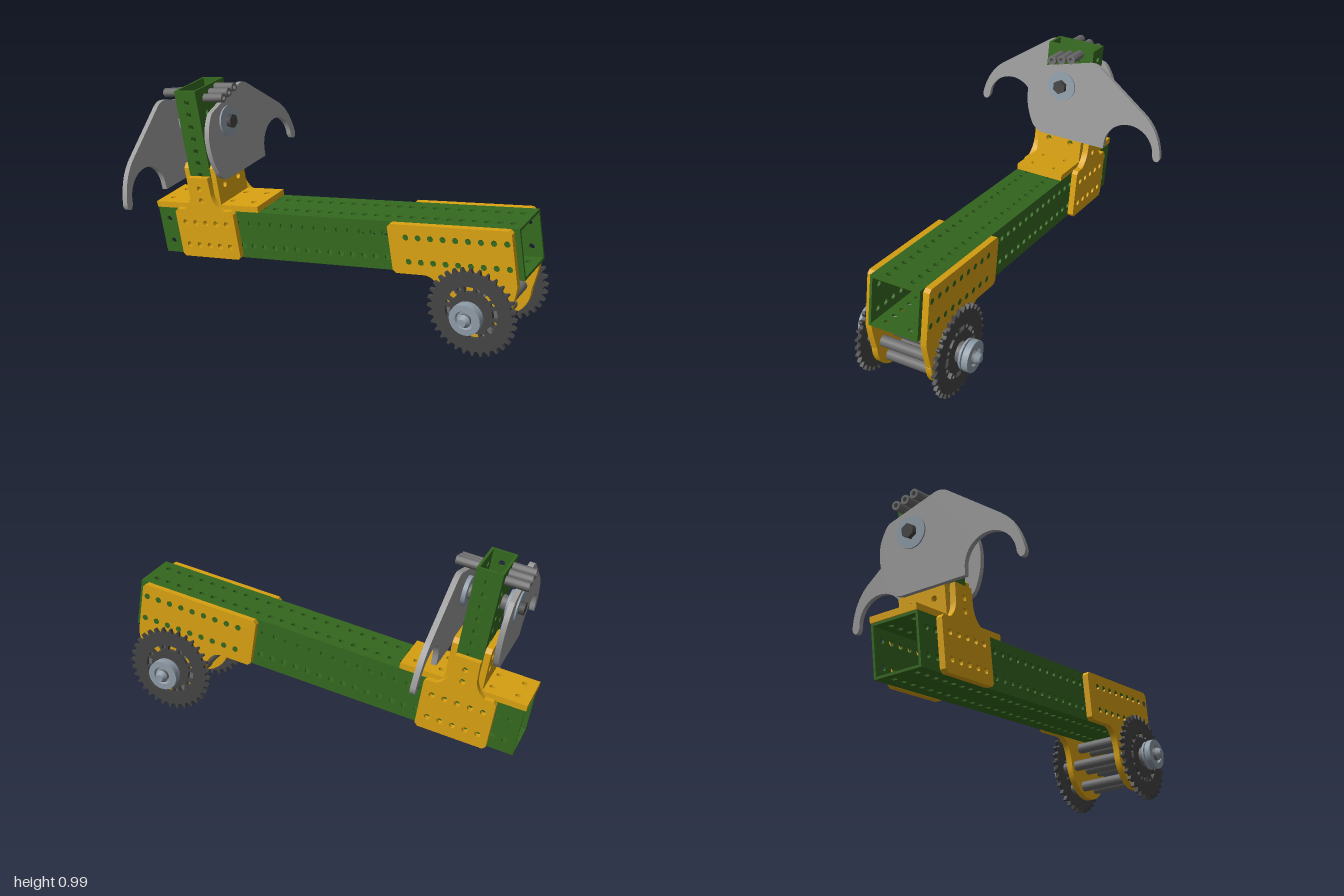
import * as THREE from 'three';
import { toCreasedNormals } from 'three/addons/utils/BufferGeometryUtils.js';

const paint = (color) => new THREE.MeshStandardMaterial({ color });
const green = paint(0x35691f), orange = paint(0xdba312), dark = paint(0x444444);
const grey = paint(0x9c9c9c), rodGrey = paint(0x6c6c6c), steel = paint(0x8f9ca8);

const PITCH = 0.062;   // hole spacing
const U = -0.682;      // upright position along the arm
const PIVOT = 0.55;    // claw pivot height above the arm axis

function add(parent, name, geometry, material, x = 0, y = 0, z = 0) {
  const mesh = new THREE.Mesh(geometry, material);
  mesh.name = name;
  mesh.position.set(x, y, z);
  parent.add(mesh);
  return mesh;
}

function polygon(points) {
  return new THREE.Shape(points.map(([x, y]) => new THREE.Vector2(x, y)));
}

function rect(w, h) {
  return polygon([[-w / 2, -h / 2], [w / 2, -h / 2], [w / 2, h / 2], [-w / 2, h / 2]]);
}

function drill(shape, xs, ys, r = 0.0145) {
  for (const x of xs) for (const y of ys) {
    shape.holes.push(new THREE.Path().absarc(x, y, r, 0, Math.PI * 2, true));
  }
  return shape;
}

// Flat plate lying in xy, from z = 0 to z = depth
function plate(shape, depth, curveSegments = 6) {
  const g = new THREE.ExtrudeGeometry(shape, { depth, bevelEnabled: false, curveSegments });
  return toCreasedNormals(g, 0.6);
}

// Cylinder along z, from z0 to z1
function rod(r, z0, z1, sides = 20) {
  return new THREE.CylinderGeometry(r, r, z1 - z0, sides).rotateX(Math.PI / 2).translate(0, 0, (z0 + z1) / 2);
}

const row = (n, mid = 0, step = PITCH) => Array.from({ length: n }, (_, i) => mid + (i - (n - 1) / 2) * step);

// Perforated box tube along x
function boxTube(name, length, h, w, n, sideRows, topRows) {
  const tube = new THREE.Group(), t = 0.012;
  tube.name = name;
  const side = plate(drill(rect(length, h), row(n), sideRows), t);
  const top = plate(drill(rect(length, w - 2 * t), row(n), topRows), t).rotateX(-Math.PI / 2);
  add(tube, 'sideWall', side, green, 0, 0, w / 2 - t);
  add(tube, 'sideWall', side, green, 0, 0, -w / 2);
  add(tube, 'topWall', top, green, 0, h / 2 - t, 0);
  add(tube, 'bottomWall', top, green, 0, -h / 2, 0);
  return tube;
}

// Plate with a round lobe that carries the sprocket
function wheelPlateShape() {
  const s = new THREE.Shape();
  s.moveTo(0.36, -0.122);
  s.lineTo(0.345, -0.107).lineTo(0.345, 0.107).lineTo(0.36, 0.122);
  s.lineTo(0.942, 0.122).lineTo(0.957, 0.107).lineTo(0.957, -0.14);
  s.quadraticCurveTo(0.95, -0.18, 0.9, -0.29);
  s.absarc(0.743, -0.264, 0.16, -0.17, -Math.PI + 0.1, true);
  s.quadraticCurveTo(0.585, -0.135, 0.51, -0.122);
  return drill(s, row(9, 0.682), [-0.06, 0.06]);
}

// Gusset joining the arm and the upright
function gussetShape() {
  const s = new THREE.Shape();
  s.moveTo(U - 0.16, -0.125);
  s.lineTo(U + 0.16, -0.125).lineTo(U + 0.175, -0.11).lineTo(U + 0.175, 0.115).lineTo(U + 0.16, 0.13);
  s.lineTo(U + 0.115, 0.13).quadraticCurveTo(U + 0.07, 0.16, U + 0.064, 0.21).lineTo(U + 0.06, 0.3);
  s.lineTo(U - 0.06, 0.3).lineTo(U - 0.064, 0.21).quadraticCurveTo(U - 0.07, 0.16, U - 0.115, 0.13);
  s.lineTo(U - 0.16, 0.13).lineTo(U - 0.175, 0.115).lineTo(U - 0.175, -0.11);
  drill(s, row(5, U), [-0.06, 0.06]);
  return drill(s, [U], [0.18, 0.242]);
}

// Hooked claw, pivot at the origin, reaching toward +x
function clawShape() {
  const s = new THREE.Shape();
  s.moveTo(0.258, -0.272);
  s.lineTo(-0.08, -0.272);
  s.quadraticCurveTo(-0.13, -0.265, -0.152, -0.21);
  s.bezierCurveTo(-0.19, -0.13, -0.19, -0.03, -0.16, 0.02);
  s.quadraticCurveTo(-0.13, 0.075, -0.11, 0.078);
  s.lineTo(0.125, 0.143).quadraticCurveTo(0.165, 0.158, 0.205, 0.132);
  s.lineTo(0.46, -0.052);
  s.bezierCurveTo(0.52, -0.1, 0.55, -0.17, 0.562, -0.245);
  s.quadraticCurveTo(0.555, -0.28, 0.53, -0.265);
  s.lineTo(0.52, -0.245);
  s.absarc(0.39, -0.245, 0.13, 0, Math.PI, false);
  return s;
}

function sprocketShape() {
  const teeth = 32, pts = [];
  for (let i = 0; i < teeth; i++) {
    for (const [f, r] of [[0, 0.195], [0.22, 0.196], [0.42, 0.218], [0.62, 0.218], [0.82, 0.196]]) {
      const a = (i + f) / teeth * Math.PI * 2;
      pts.push([r * Math.cos(a), r * Math.sin(a)]);
    }
  }
  const s = polygon(pts);
  for (let i = 0; i < 8; i++) {
    const a = i * Math.PI / 4, slot = new THREE.Path();
    slot.absarc(0, 0, 0.128, a - 0.19, a + 0.19, false);
    slot.absarc(0, 0, 0.102, a + 0.19, a - 0.19, true);
    s.holes.push(slot);
    const b = a + Math.PI / 8;
    drill(s, [0.118 * Math.cos(b)], [0.118 * Math.sin(b)], 0.011);
  }
  return s;
}

// Sprocket with pulley and axle end, outward along +z
function wheel() {
  const g = new THREE.Group();
  g.name = 'wheel';
  add(g, 'sprocket', plate(sprocketShape(), 0.018), dark, 0, 0, 0.186);
  add(g, 'spacer', rod(0.05, 0.14, 0.238), rodGrey);
  const profile = [[0.02, 0.232], [0.072, 0.232], [0.072, 0.242], [0.06, 0.244], [0.06, 0.25], [0.075, 0.25],
    [0.075, 0.28], [0.045, 0.281], [0.04, 0.27], [0.02, 0.27]].map(([r, z]) => new THREE.Vector2(r, z));
  const pulley = new THREE.LatheGeometry(profile, 32).rotateX(Math.PI / 2);
  add(g, 'pulley', toCreasedNormals(pulley, 0.5), steel).material.side = THREE.DoubleSide;
  add(g, 'axle', rod(0.03, 0, 0.29), rodGrey);
  add(g, 'axleCap', new THREE.CylinderGeometry(0.018, 0.032, 0.022, 20).rotateX(Math.PI / 2), steel, 0, 0, 0.298);
  return g;
}

// Claw, hub, stop rods and bracket for one face of the upright, outward along +z
function clawSide() {
  const g = new THREE.Group();
  g.name = 'clawAssembly';
  add(g, 'claw', plate(clawShape(), 0.026, 16), grey, 0, 0, 0.112);
  add(g, 'innerHub', rod(0.07, 0.092, 0.112, 32), steel);
  add(g, 'outerHub', rod(0.075, 0.138, 0.146, 32), steel);
  add(g, 'pivotSpacer', rod(0.036, 0.06, 0.1), rodGrey);
  add(g, 'pivotNut', rod(0.034, 0.14, 0.17, 6), dark);
  for (const i of [-1, 0, 1]) {
    const s = rect(0, 0);
    s.curves = [];
    s.absarc(0, 0, 0.022, 0, Math.PI * 2, false);
    add(g, 'stopRod', plate(drill(s, [0], [0], 0.011), 0.112), rodGrey, i * 0.05, 0.144 + i * 0.0125, 0.06);
  }
  const flange = polygon([[-0.12, -0.427], [0.12, -0.427], [0.12, -0.21], [0.1, -0.19], [-0.1, -0.19], [-0.12, -0.21]]);
  add(g, 'uprightBracket', plate(drill(flange, [-0.06, 0.06], row(2, -0.28)), 0.03), orange, 0, 0, 0.062);
  return g;
}

export function createModel() {
  const model = new THREE.Group();
  const arm = new THREE.Group();
  arm.name = 'arm';
  arm.position.set(0.005, 0.36, 0);
  arm.rotation.z = 0.164;
  model.add(arm);

  // Tubes
  arm.add(boxTube('mainTube', 1.966, 0.245, 0.245, 31, [-0.06, 0.06], [-0.06, 0.06]));
  const upright = boxTube('uprightTube', 0.612, 0.124, 0.245, 9, [0], [-0.06, 0.06]);
  upright.position.set(U, 0.429, 0);
  upright.rotation.z = Math.PI / 2;
  arm.add(upright);

  // Side plates
  const wheelPlate = plate(wheelPlateShape(), 0.03, 12), gusset = plate(gussetShape(), 0.03);
  for (const z of [0.1225, -0.1525]) {
    add(arm, 'wheelPlate', wheelPlate, orange, 0, 0, z);
    add(arm, 'gussetPlate', gusset, orange, 0, 0, z);
  }

  // Base plate under the upright
  const base = drill(rect(0.614, 0.245), [-0.248, -0.124, 0.124, 0.248], [-0.06, 0.06]);
  add(arm, 'basePlate', plate(base, 0.03).rotateX(-Math.PI / 2), orange, U, 0.1225, 0);

  // Claws on both faces of the upright, reaching opposite ways
  for (const side of [1, -1]) {
    const claw = clawSide();
    claw.position.set(U, PIVOT, 0);
    claw.rotation.y = side * Math.PI / 2;
    arm.add(claw);
  }

  // Wheels and the ring of standoffs between them
  const axle = new THREE.Group();
  axle.name = 'wheelSet';
  axle.position.set(0.743, -0.264, 0);
  arm.add(axle);
  const back = wheel();
  back.rotation.y = Math.PI;
  axle.add(wheel(), back);
  for (let i = 0; i < 6; i++) {
    const a = i * Math.PI / 3;
    add(axle, 'standoff', rod(0.026, -0.186, 0.186), rodGrey, 0.115 * Math.cos(a), 0.115 * Math.sin(a), 0);
  }
  return model;
}
